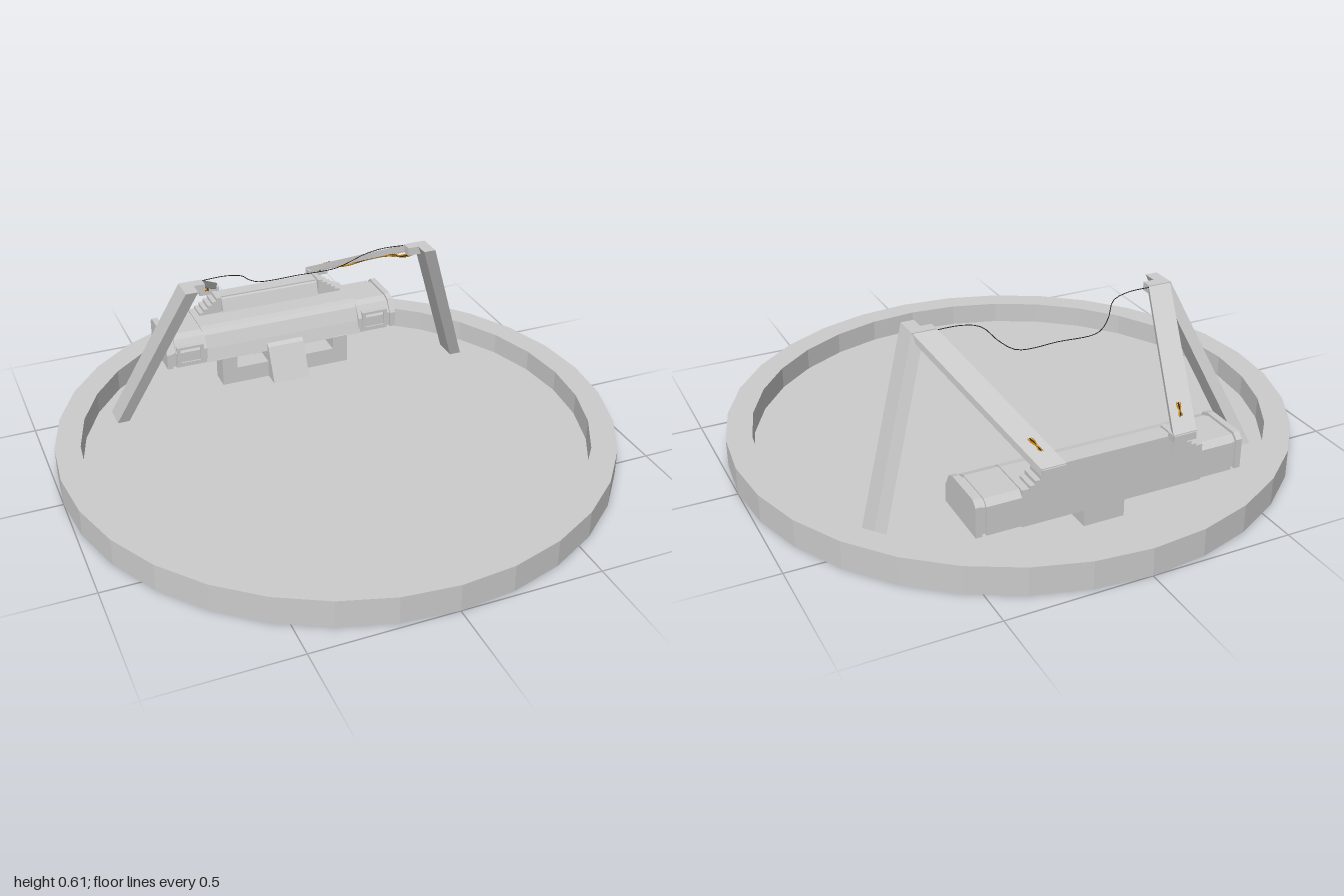
import * as THREE from 'three';

const grey = new THREE.MeshStandardMaterial({ color: 0xcccccc, flatShading: true, side: THREE.DoubleSide });
const orange = new THREE.MeshStandardMaterial({ color: 0xd08a10 });
const dark = new THREE.MeshStandardMaterial({ color: 0x2a2420 });

export function createModel() {
  const model = new THREE.Group();

  const add = (name, geometry, material = grey) => {
    const mesh = new THREE.Mesh(geometry, material);
    mesh.name = name;
    model.add(mesh);
    return mesh;
  };

  // Box given by its limits on each axis
  const block = (name, x0, x1, y0, y1, z0, z1) =>
    add(name, new THREE.BoxGeometry(Math.abs(x1 - x0), y1 - y0, Math.abs(z1 - z0))
      .translate((x0 + x1) / 2, (y0 + y1) / 2, (z0 + z1) / 2));

  // Side profile of [z, y] points, extruded from xa to xb
  const extrudeX = (name, profile, xa, xb) => {
    const shape = new THREE.Shape(profile.map(([z, y]) => new THREE.Vector2(-z, y)));
    const geometry = new THREE.ExtrudeGeometry(shape, { depth: Math.abs(xb - xa), bevelEnabled: false });
    return add(name, geometry.rotateY(Math.PI / 2).translate(Math.min(xa, xb), 0, 0));
  };

  // Box whose ends stay parallel while its middle line runs from a to b
  const shearedBeam = (name, axis, a, b, size) => {
    const geometry = new THREE.BoxGeometry(...size.map((v, i) => (i === axis ? 1 : v)));
    const p = geometry.attributes.position;
    for (let i = 0; i < p.count; i++) {
      const v = [p.getX(i), p.getY(i), p.getZ(i)];
      const t = v[axis] + 0.5;
      v[axis] = 0;
      p.setXYZ(i, ...v.map((c, k) => c + a[k] + (b[k] - a[k]) * t));
    }
    geometry.computeVertexNormals();
    return add(name, geometry);
  };

  const cable = (name, points, radius, material) =>
    add(name, new THREE.TubeGeometry(
      new THREE.CatmullRomCurve3(points.map((q) => new THREE.Vector3(...q))), 40, radius, 5), material);

  // Shallow round tray
  add('tray', new THREE.LatheGeometry(
    [[0, 0], [1, 0], [1, 0.1], [0.91, 0.1], [0.91, 0.02], [0, 0.02]].map((q) => new THREE.Vector2(...q)), 32));

  // Main housing
  const housing = [[-0.525, 0.13], [-0.54, 0.18], [-0.56, 0.23], [-0.575, 0.245], [-0.6, 0.25], [-0.755, 0.25], [-0.755, 0.12], [-0.6, 0.12]];
  extrudeX('housing', housing, -0.32, 0.32);
  const ridge = new THREE.Shape();
  ridge.moveTo(-0.28, 0.24);
  ridge.lineTo(0.28, 0.24);
  ridge.lineTo(0.25, 0.27);
  ridge.lineTo(0.2, 0.31);
  ridge.lineTo(-0.2, 0.31);
  ridge.lineTo(-0.25, 0.27);
  add('ridge', new THREE.ExtrudeGeometry(ridge, { depth: 0.055, bevelEnabled: false }).translate(0, 0, -0.755));
  extrudeX('ridgeSlope', [[-0.675, 0.245], [-0.695, 0.3], [-0.705, 0.31], [-0.72, 0.31], [-0.72, 0.245]], -0.2, 0.2);

  // Central support with a slanted front
  extrudeX('support', [[-0.455, 0.02], [-0.515, 0.15], [-0.53, 0.16], [-0.58, 0.16], [-0.7, 0.13], [-0.7, 0.02]], -0.073, 0.073);
  block('footBar', -0.26, 0.26, 0.02, 0.085, -0.6, -0.52);

  for (const s of [1, -1]) {
    // Raised ends of the foot bar
    block('footEnd', s * 0.2, s * 0.26, 0.08, 0.135, -0.6, -0.52);

    // End pod with framed front window and outer plate
    const pod = [[-0.53, 0.13], [-0.53, 0.19], [-0.56, 0.235], [-0.59, 0.245], [-0.735, 0.245], [-0.755, 0.225], [-0.755, 0.125]];
    extrudeX('podBody', pod, s * 0.315, s * 0.438);
    extrudeX('podNeck', pod.map(([z, y]) => [-0.65 + (z + 0.65) * 0.93, 0.185 + (y - 0.185) * 0.93]), s * 0.43, s * 0.46);
    extrudeX('podPlate', pod.map(([z, y]) => [z, y + (y > 0.2 ? 0.005 : 0)]), s * 0.452, s * 0.474);
    for (const [x0, x1, y0, y1] of [[0.33, 0.343, 0.14, 0.215], [0.422, 0.435, 0.14, 0.215], [0.343, 0.422, 0.14, 0.15], [0.343, 0.422, 0.205, 0.215]]) {
      block('podFrame', s * x0, s * x1, y0, y1, -0.56, -0.524);
    }

    // Ribbed ramp on the shoulder of the ridge
    for (let i = 0; i < 5; i++) {
      const x = 0.205 + i * 0.018;
      block('ramprib', s * x, s * (x + 0.018), 0.24, 0.312 - i * 0.013, -0.757, -0.685);
    }

    // Leaning post
    shearedBeam('post', 1, [s * 0.688, 0.02, -0.448], [s * 0.452, 0.605, -0.243], [0.045, 1, 0.09]);

    // Sloping arm: top plate with a flange on each side, open below
    block('armHead', s * 0.39, s * 0.474, 0.575, 0.605, -0.29, -0.25);
    shearedBeam('armPlate', 2, [s * 0.23, 0.323, -0.785], [s * 0.431, 0.6, -0.285], [0.084, 0.01, 1]);
    for (const o of [-0.036, 0.036]) {
      shearedBeam('armFlange', 2, [s * (0.23 + o), 0.315, -0.785], [s * (0.431 + o), 0.592, -0.285], [0.012, 0.026, 1]);
    }
    block('armFoot', s * 0.19, s * 0.27, 0.3, 0.325, -0.79, -0.752);

    // Cables slung under the arm
    for (let i = 0; i < 3; i++) {
      const o = (i - 1) * 0.014;
      cable('armCable', [
        [s * (0.43 + o), 0.56, -0.295], [s * (0.412 + o), 0.535 - i * 0.004, -0.34],
        [s * (0.39 - o), 0.512, -0.4], [s * (0.34 + o), 0.452, -0.52],
        [s * (0.29 - o), 0.385, -0.63], [s * (0.262 + o * 0.5), 0.379, -0.69],
        [s * (0.245 - o * 0.5), 0.352, -0.735], [s * 0.235, 0.315, -0.755],
      ], 0.003, i === 1 ? dark : orange);
    }
  }

  // Thin wire hanging between the two arms
  const half = [[0.4, 0.6, -0.29], [0.3, 0.6, -0.295], [0.24, 0.585, -0.305], [0.2, 0.545, -0.345], [0.15, 0.515, -0.37]];
  cable('hangingWire', [...half, [0, 0.513, -0.372], ...half.map(([x, y, z]) => [-x, y, z]).reverse()], 0.0015, dark);

  return model;
}
